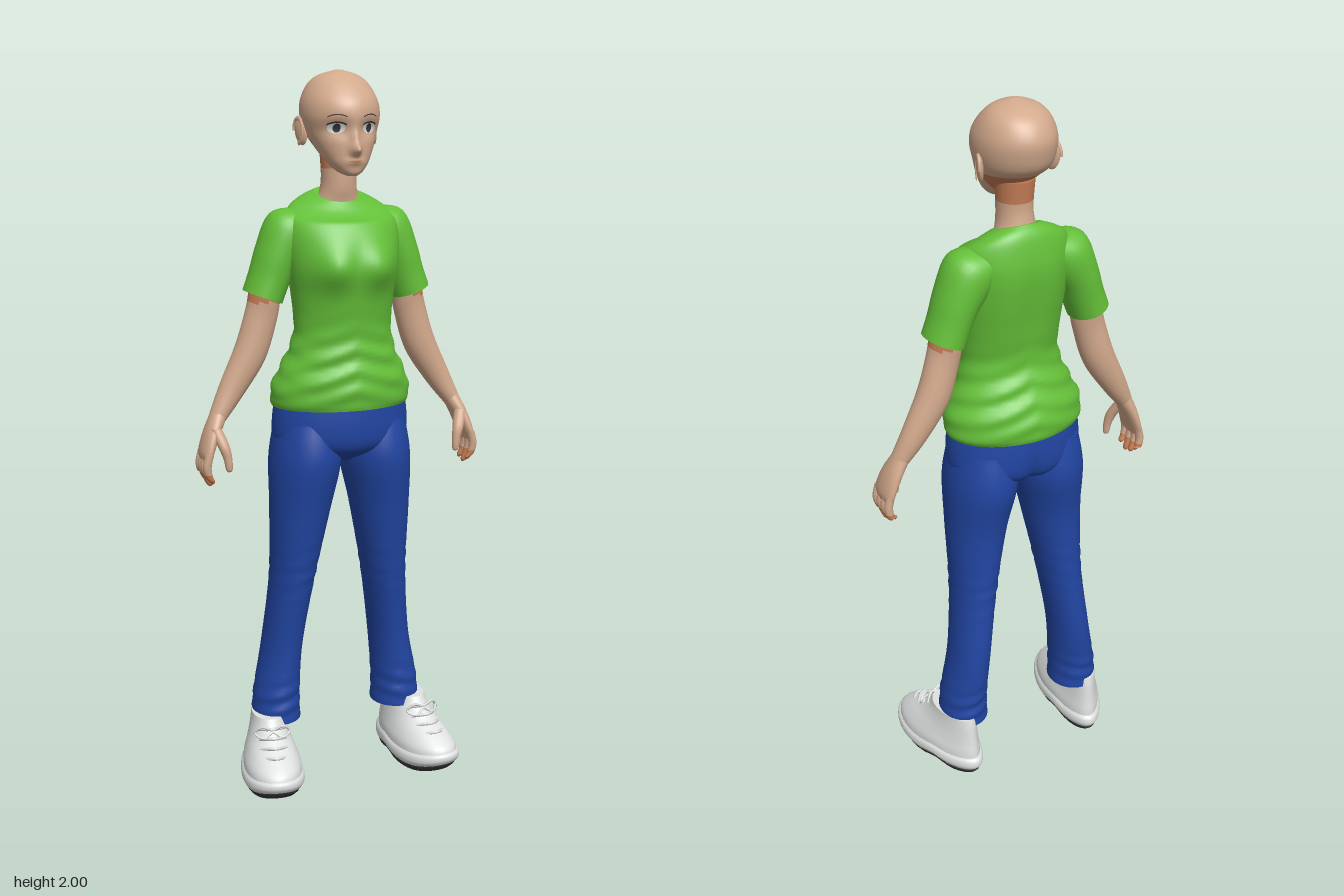
import * as THREE from 'three';

const mat = (name, color) => Object.assign(new THREE.MeshStandardMaterial({ color }), { name });
const skin = mat('skin', 0xd2a98c);
const deepSkin = mat('deepSkin', 0xc47c54);
const green = mat('shirtGreen', 0x64bf38);
const blue = mat('trouserBlue', 0x2145a2);
const white = mat('shoeWhite', 0xe0e2e2);
const dark = mat('soleDark', 0x38383a);
const brown = mat('browBrown', 0x5a4034);

const bump = (d, r) => Math.exp(-(d * d) / (r * r));

// Smooth skin through rings [x, y, z, radiusX, radiusZ, tiltDegrees], capped at both ends.
// deform(v) shifts vertices; pick(v) says which faces take the second material.
function loft(name, rows, materials, { segs = 32, sub = 5, deform, pick } = {}) {
  if (rows[0][1] > rows[rows.length - 1][1]) rows = [...rows].reverse();
  const at = (i) => rows[Math.max(0, Math.min(rows.length - 1, i))];
  const rings = [];
  for (let k = 0; k <= (rows.length - 1) * sub; k++) {
    const i = Math.floor(k / sub), t = k / sub - i;
    rings.push([0, 1, 2, 3, 4, 5].map((c) => {
      const [a, b, d, e] = [i - 1, i, i + 1, i + 2].map((n) => at(n)[c] || 0);
      return b + 0.5 * t * (d - a + t * (2 * a - 5 * b + 4 * d - e + t * (3 * (b - d) + e - a)));
    }));
  }
  const flat = (r) => [r[0], r[1], r[2], 0, 0, r[5]];
  const first = rings[0], last = rings[rings.length - 1];
  const all = [flat(first), first, ...rings, last, flat(last)];
  const pts = [];
  for (const [x, y, z, rx, rz, tilt] of all) {
    const q = THREE.MathUtils.degToRad(tilt);
    for (let j = 0; j < segs; j++) {
      const a = (j / segs) * Math.PI * 2, s = Math.sin(a) * rx;
      const v = new THREE.Vector3(x + s * Math.cos(q), y + s * Math.sin(q), z + Math.cos(a) * rz);
      if (deform) deform(v);
      pts.push(v);
    }
  }
  const faces = [[], []];
  for (let i = 0; i < all.length - 1; i++) {
    for (let j = 0; j < segs; j++) {
      const a = i * segs + j, b = i * segs + ((j + 1) % segs), c = a + segs, d = b + segs;
      const mid = pts[a].clone().add(pts[d]).multiplyScalar(0.5);
      faces[pick && pick(mid) ? 1 : 0].push(a, b, d, a, d, c);
    }
  }
  const g = new THREE.BufferGeometry().setFromPoints(pts);
  g.setIndex([...faces[0], ...faces[1]]);
  if (pick) {
    g.addGroup(0, faces[0].length, 0);
    g.addGroup(faces[0].length, faces[1].length, 1);
  }
  g.computeVertexNormals();
  const m = new THREE.Mesh(g, materials);
  m.name = name;
  return m;
}

// Ring from height, half width, front z and back z
const ring = ([y, w, zf, zb]) => [0, y, (zf + zb) / 2, w, (zf - zb) / 2, 0];

function makeHead() {
  const head = new THREE.Group();
  head.name = 'head';
  const skull = loft('skull', [
    [1.727, 0.012, 0.075, 0.045], [1.737, 0.032, 0.083, 0.005], [1.757, 0.052, 0.086, -0.03],
    [1.78, 0.067, 0.085, -0.06], [1.81, 0.083, 0.084, -0.1], [1.84, 0.096, 0.083, -0.14],
    [1.88, 0.105, 0.09, -0.156], [1.92, 0.102, 0.08, -0.158], [1.96, 0.084, 0.045, -0.137],
    [1.985, 0.056, 0.01, -0.1], [2, 0.008, -0.03, -0.05],
  ].map(ring), [skin, deepSkin], {
    segs: 96, sub: 8,
    // Nose, eye sockets and lips
    deform: (v) => {
      if (v.z < 0.02) return;
      const ax = Math.abs(v.x);
      v.z += 0.032 * bump(v.x, 0.013) * bump(v.y - 1.795, 0.016) + 0.012 * bump(v.x, 0.012) * bump(v.y - 1.825, 0.025)
        - 0.011 * bump(ax - 0.045, 0.028) * bump(v.y - 1.85, 0.022) + 0.007 * bump(v.x, 0.022) * bump(v.y - 1.765, 0.01);
    },
    pick: (v) => v.z < -0.02 && v.y < 1.82 && v.y > 1.75,
  });
  head.add(skull);
  skull.updateMatrixWorld();

  // Thin plates laid on the face
  const ray = new THREE.Raycaster();
  const plate = (name, geo, x, y, lift, material) => {
    geo.translate(x, y, 0);
    const p = geo.attributes.position;
    for (let i = 0; i < p.count; i++) {
      ray.set(new THREE.Vector3(p.getX(i), p.getY(i), 1), new THREE.Vector3(0, 0, -1));
      const hit = ray.intersectObject(skull)[0];
      p.setZ(i, (hit ? hit.point.z : 0.05) + lift);
    }
    geo.computeVertexNormals();
    const m = new THREE.Mesh(geo, material);
    m.name = name;
    head.add(m);
  };
  const disc = (rx, ry) => new THREE.RingGeometry(0, 1, 24, 5).scale(rx, ry, 1);
  for (const s of [-1, 1]) {
    plate('eyeWhite', disc(0.021, 0.014), s * 0.046, 1.851, 0.0015, white);
    plate('iris', disc(0.009, 0.012), s * 0.045, 1.851, 0.0025, dark);
    const lash = new THREE.PlaneGeometry(0.046, 0.004, 12, 1), brow = new THREE.PlaneGeometry(0.046, 0.003, 12, 1);
    for (const g of [lash, brow]) {
      const p = g.attributes.position;
      for (let i = 0; i < p.count; i++) p.setY(i, p.getY(i) - 12 * p.getX(i) ** 2);
    }
    plate('upperLash', lash, s * 0.046, 1.866, 0.003, dark);
    plate('eyebrow', brow, s * 0.046, 1.886, 0.002, brown);

    const ear = new THREE.Mesh(new THREE.SphereGeometry(1, 20, 14), skin);
    ear.name = 'ear';
    ear.scale.set(0.009, 0.037, 0.023);
    ear.position.set(s * 0.103, 1.84, -0.052);
    ear.rotation.set(-0.2, s * -0.35, s * -0.12);
    const rim = new THREE.Mesh(new THREE.TorusGeometry(0.023, 0.005, 8, 24, 4.6), skin);
    rim.name = 'earRim';
    rim.scale.set(0.85, 1.4, 1);
    rim.position.set(s * 0.109, 1.842, -0.055);
    rim.rotation.y = Math.PI / 2 - s * 0.3;
    head.add(ear, rim);
  }
  plate('mouth', disc(0.018, 0.0025), 0, 1.766, 0.0015, deepSkin);
  return head;
}

function makeArm(s) {
  const arm = new THREE.Group();
  arm.name = s > 0 ? 'leftArm' : 'rightArm';
  const side = (rows) => rows.map(([x, y, z, rx, rz, t = 0]) => [s * x, y, z, rx, rz, s * t]);
  arm.add(loft('sleeve', side([
    [0.1, 1.595, -0.055, 0.05, 0.062, 62], [0.14, 1.573, -0.055, 0.073, 0.072, 46], [0.176, 1.51, -0.055, 0.062, 0.071, 32],
    [0.198, 1.45, -0.055, 0.057, 0.067, 25], [0.216, 1.402, -0.055, 0.056, 0.067, 20],
  ]), green));
  arm.add(loft('forearm', side([
    [0.19, 1.5, -0.056, 0.04, 0.043, 28], [0.208, 1.41, -0.057, 0.045, 0.046, 22], [0.22, 1.35, -0.058, 0.046, 0.042, 22],
    [0.252, 1.25, -0.06, 0.046, 0.042, 28], [0.308, 1.15, -0.058, 0.036, 0.034, 30], [0.35, 1.08, -0.05, 0.024, 0.028, 28],
  ]), [skin, deepSkin], { pick: (v) => v.y > 1.39 }));
  arm.add(loft('palm', side([
    [0.345, 1.09, -0.051, 0.023, 0.028, 28], [0.37, 1.04, -0.042, 0.021, 0.043, 20],
    [0.388, 0.99, -0.036, 0.018, 0.05, 8], [0.391, 0.965, -0.036, 0.012, 0.044, 0],
  ]), skin));
  // Four curled fingers and a thumb
  [[0.004, 0.905], [-0.022, 0.893], [-0.048, 0.9], [-0.072, 0.918]].forEach(([z, tip]) => {
    arm.add(loft('finger', side([
      [0.389, 0.99, z, 0.012, 0.012], [0.397, 0.955, z, 0.012, 0.012], [0.393, 0.928, z - 0.002, 0.011, 0.0105],
      [0.384, tip + 0.008, z - 0.004, 0.009, 0.009], [0.381, tip, z - 0.004, 0.002, 0.002],
    ]), [skin, deepSkin], { segs: 14, pick: (v) => v.y < 0.935 }));
  });
  arm.add(loft('thumb', side([
    [0.365, 1.055, -0.02, 0.016, 0.018], [0.35, 1.01, 0.004, 0.016, 0.017], [0.341, 0.975, 0.012, 0.012, 0.012],
    [0.338, 0.945, 0.014, 0.009, 0.009], [0.338, 0.938, 0.014, 0.002, 0.002],
  ]), skin, { segs: 14 }));
  return arm;
}

function makeShoe(s) {
  const shoe = new THREE.Group();
  shoe.name = s > 0 ? 'leftShoe' : 'rightShoe';
  // Wider toe, raised toe tip and arch
  const deform = (v) => {
    v.x *= 1 + 1.1 * v.z;
    const low = Math.max(0, 1 - v.y / 0.12);
    v.y += low * (0.028 * Math.max(0, (v.z - 0.06) / 0.12) ** 2 + 0.014 * bump(v.z + 0.05, 0.04));
  };
  shoe.add(loft('outsole', [
    [0, 0.068, 0.15, -0.16], [0.012, 0.076, 0.168, -0.172], [0.028, 0.078, 0.175, -0.174],
  ].map(ring), dark, { deform, segs: 40 }));
  shoe.add(loft('midsole', [
    [0.022, 0.08, 0.176, -0.176], [0.035, 0.087, 0.184, -0.184], [0.052, 0.086, 0.184, -0.183], [0.062, 0.08, 0.177, -0.175],
  ].map(ring), white, { deform, segs: 40 }));
  shoe.add(loft('upper', [
    [0.05, 0.08, 0.178, -0.172], [0.08, 0.079, 0.168, -0.17], [0.11, 0.07, 0.132, -0.166],
    [0.14, 0.06, 0.078, -0.163], [0.17, 0.053, 0.038, -0.16], [0.195, 0.05, 0.02, -0.155],
  ].map(ring), white, { deform, segs: 40 }));
  // Laces across the instep, with a bow
  const cord = (name, pts, r) => {
    const curve = new THREE.CatmullRomCurve3(pts.map((p) => new THREE.Vector3(...p)));
    const m = new THREE.Mesh(new THREE.TubeGeometry(curve, 16, r, 6), white);
    m.name = name;
    shoe.add(m);
  };
  for (let i = 0; i < 4; i++) {
    const y = 0.118 + i * 0.018, z = 0.12 - i * 0.026;
    cord('lace', [[-0.038, y - 0.006, z - 0.026], [0, y + 0.004, z + 0.002], [0.038, y - 0.006, z - 0.026]], 0.005);
  }
  for (const k of [-1, 1]) {
    cord('bowLoop', [[0, 0.172, 0.045], [k * 0.03, 0.185, 0.045], [k * 0.05, 0.165, 0.035], [k * 0.03, 0.155, 0.055], [0, 0.17, 0.047]], 0.004);
  }
  shoe.position.x = s * 0.226;
  shoe.rotation.y = s * 0.17;
  return shoe;
}

export function createModel() {
  const model = new THREE.Group();
  model.name = 'standingFigure';
  model.add(makeHead());
  model.add(loft('neck', [
    [1.62, 0.08, -0.005, -0.1], [1.66, 0.06, 0.002, -0.102], [1.69, 0.05, 0.008, -0.095],
    [1.73, 0.048, 0.01, -0.09], [1.8, 0.052, 0.01, -0.095],
  ].map(ring), [skin, deepSkin], { pick: (v) => v.y > 1.745 }));

  // Shirt body with bust, soft folds and a sloping collar
  model.add(loft('shirt', [
    [1.1, 0.194, 0.104, -0.17], [1.12, 0.2, 0.109, -0.175], [1.17, 0.192, 0.112, -0.17], [1.24, 0.158, 0.1, -0.142],
    [1.31, 0.138, 0.094, -0.118], [1.4, 0.143, 0.105, -0.13], [1.48, 0.155, 0.117, -0.142], [1.55, 0.162, 0.104, -0.148],
    [1.6, 0.16, 0.08, -0.145], [1.635, 0.143, 0.05, -0.134], [1.658, 0.105, 0.02, -0.12], [1.674, 0.066, 0.004, -0.107],
  ].map(ring), green, {
    segs: 64, sub: 6,
    deform: (v) => {
      const ax = Math.abs(v.x), fold = bump(v.y - 1.22, 0.09);
      if (v.z > 0) v.z += 0.026 * bump(ax - 0.065, 0.05) * bump(v.y - 1.49, 0.055);
      else v.z += 0.01 * bump(v.x, 0.04) * bump(v.y - 1.45, 0.15);
      v.z += Math.sign(v.z) * fold * 0.005 * Math.sin(v.y * 110 + ax * 35);
      v.x *= 1 + 0.022 * fold * Math.sin(v.y * 100 + v.z * 30);
      v.y -= 0.35 * (v.z + 0.05) * THREE.MathUtils.smoothstep(v.y, 1.6, 1.66);
    },
  }));

  model.add(loft('trouserSeat', [
    [0.94, 0.05, 0.01, -0.09], [0.97, 0.13, 0.07, -0.145], [1.0, 0.188, 0.094, -0.165],
    [1.05, 0.196, 0.101, -0.168], [1.12, 0.188, 0.099, -0.162],
  ].map(ring), blue, {
    segs: 48,
    deform: (v) => { if (v.z < -0.05) v.z += 0.018 * bump(v.x, 0.02) * bump(v.y - 0.99, 0.06); },
  }));

  for (const s of [-1, 1]) {
    model.add(makeArm(s));
    // Trouser leg with creases at knee and cuff
    model.add(loft(s > 0 ? 'leftTrouserLeg' : 'rightTrouserLeg', [
      [0.1, 1.06, -0.035, 0.085, 0.11], [0.104, 0.95, -0.035, 0.099, 0.128], [0.12, 0.8, -0.036, 0.084, 0.103],
      [0.14, 0.6, -0.052, 0.063, 0.088], [0.165, 0.4, -0.072, 0.057, 0.083], [0.184, 0.25, -0.07, 0.066, 0.08],
      [0.187, 0.168, -0.07, 0.071, 0.079],
    ].map(([x, ...r]) => [s * x, ...r]), blue, {
      sub: 10,
      deform: (v) => {
        const crease = bump(v.y - 0.62, 0.07) + bump(v.y - 0.24, 0.05);
        v.z += Math.sign(v.z + 0.06) * 0.004 * crease * Math.sin(v.y * 130 + s * v.x * 30);
      },
    }));
    model.add(makeShoe(s));
  }
  return model;
}
